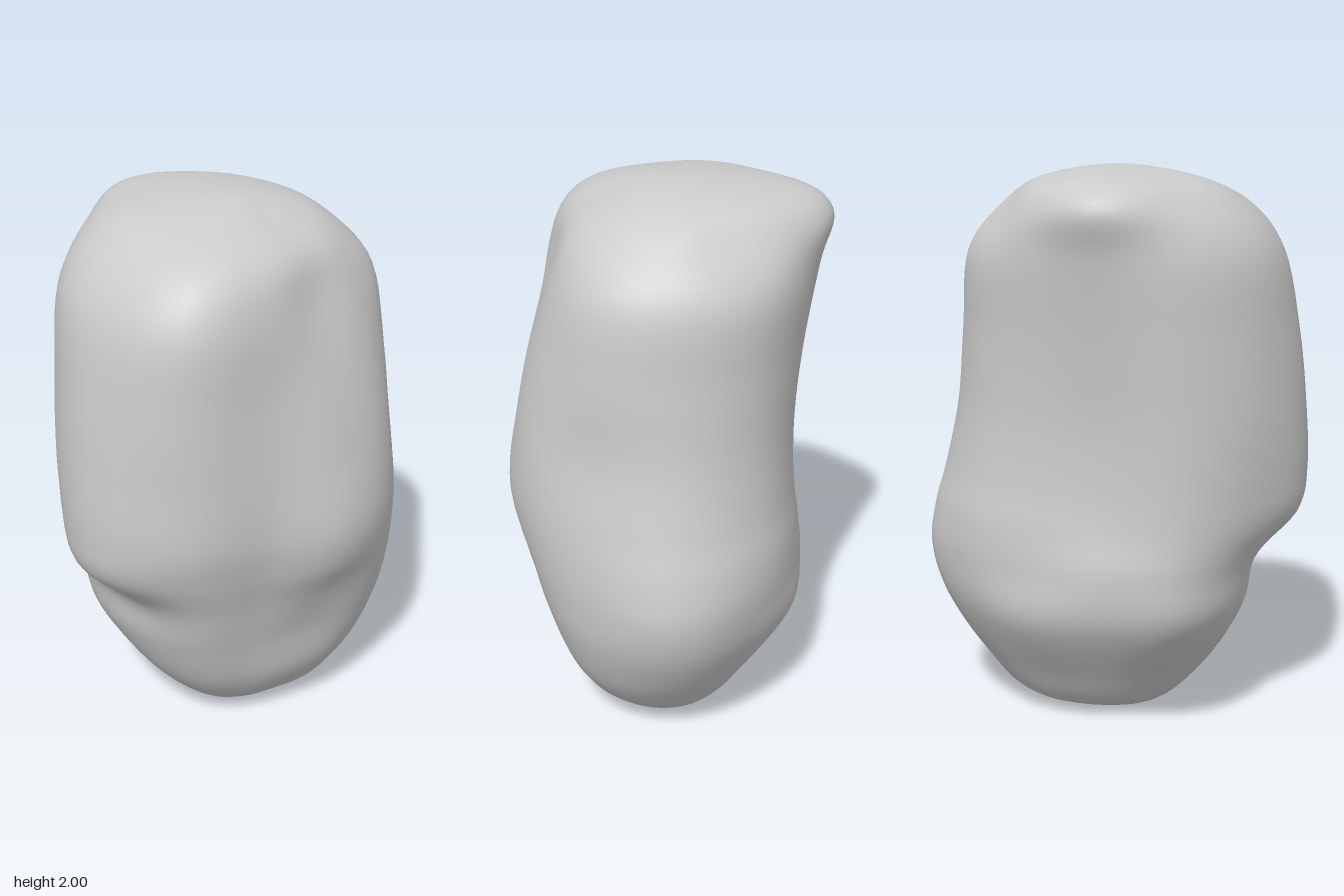
import * as THREE from 'three';
import { mergeVertices } from 'three/addons/utils/BufferGeometryUtils.js';

// Cross-sections from bottom to top: height, then 12 radii every 30 degrees from +x towards +z.
const SECTIONS = [
  [0.04, 0.34, 0.32, 0.27, 0.21, 0.20, 0.20, 0.19, 0.20, 0.20, 0.20, 0.23, 0.29],
  [0.20, 0.51, 0.50, 0.42, 0.345, 0.33, 0.36, 0.36, 0.36, 0.35, 0.335, 0.37, 0.44],
  [0.42, 0.65, 0.60, 0.51, 0.40, 0.39, 0.46, 0.475, 0.51, 0.53, 0.48, 0.52, 0.57],
  [0.60, 0.70, 0.63, 0.56, 0.47, 0.44, 0.52, 0.52, 0.55, 0.56, 0.505, 0.53, 0.61],
  [0.76, 0.68, 0.63, 0.59, 0.55, 0.49, 0.59, 0.67, 0.61, 0.56, 0.48, 0.52, 0.61],
  [0.92, 0.635, 0.61, 0.60, 0.575, 0.52, 0.63, 0.70, 0.63, 0.56, 0.465, 0.50, 0.58],
  [1.15, 0.585, 0.57, 0.58, 0.54, 0.52, 0.63, 0.69, 0.64, 0.565, 0.465, 0.49, 0.55],
  [1.42, 0.56, 0.56, 0.53, 0.485, 0.50, 0.625, 0.66, 0.63, 0.575, 0.495, 0.50, 0.54],
  [1.70, 0.53, 0.52, 0.45, 0.40, 0.47, 0.60, 0.60, 0.60, 0.575, 0.54, 0.52, 0.53],
  [1.87, 0.40, 0.38, 0.35, 0.335, 0.39, 0.48, 0.47, 0.49, 0.51, 0.575, 0.49, 0.41],
  [1.96, 0.25, 0.22, 0.18, 0.165, 0.20, 0.25, 0.28, 0.33, 0.36, 0.43, 0.36, 0.29],
];
const SIDES = 12, AROUND = 72, STEPS = 6;

// Catmull-Rom through b and c
const spline = (a, b, c, d, t) => b + 0.5 * t * (c - a
  + t * (2 * a - 5 * b + 4 * c - d + t * (3 * (b - c) + d - a)));

function rockGeometry() {
  // Close both ends with a pole, mirrored across so the surface stays smooth there
  const pole = (y) => [y, ...Array(SIDES).fill(0)];
  const across = ([y, ...r]) => [y, ...r.map((_, k) => -r[(k + SIDES / 2) % SIDES])];
  const last = SECTIONS[SECTIONS.length - 1];
  const rows = [across(SECTIONS[0]), pole(0), ...SECTIONS, pole(2), across(last)];

  // Refine the sections in height, then around
  const rings = [];
  for (let i = 1; i < rows.length - 2; i++) {
    for (let s = 0; s < STEPS; s++) {
      rings.push(rows[i].map((_, k) => spline(
        rows[i - 1][k], rows[i][k], rows[i + 1][k], rows[i + 2][k], s / STEPS)));
    }
  }
  rings.push(pole(2));

  const positions = [], index = [];
  rings.forEach(([y, ...r], i) => {
    for (let j = 0; j < AROUND; j++) {
      const u = j / AROUND * SIDES, k = Math.floor(u);
      const at = (n) => r[(n + SIDES) % SIDES];
      const radius = spline(at(k - 1), at(k), at(k + 1), at(k + 2), u - k);
      const angle = j / AROUND * Math.PI * 2;
      positions.push(radius * Math.cos(angle), y, radius * Math.sin(angle));
      if (i === rings.length - 1) continue;
      const a = i * AROUND + j, b = i * AROUND + (j + 1) % AROUND;
      const c = a + AROUND, d = b + AROUND;
      if (i > 0) index.push(a, c, b);
      if (i < rings.length - 2) index.push(b, c, d);
    }
  });

  const geometry = new THREE.BufferGeometry();
  geometry.setAttribute('position', new THREE.Float32BufferAttribute(positions, 3));
  geometry.setIndex(index);
  const merged = mergeVertices(geometry, 1e-5);
  merged.computeVertexNormals();
  return merged;
}

export function createModel() {
  const group = new THREE.Group();
  group.name = 'boulder';
  const rock = new THREE.Mesh(rockGeometry(), new THREE.MeshStandardMaterial({ color: 0xcccccc }));
  rock.name = 'rock';
  group.add(rock);
  return group;
}
